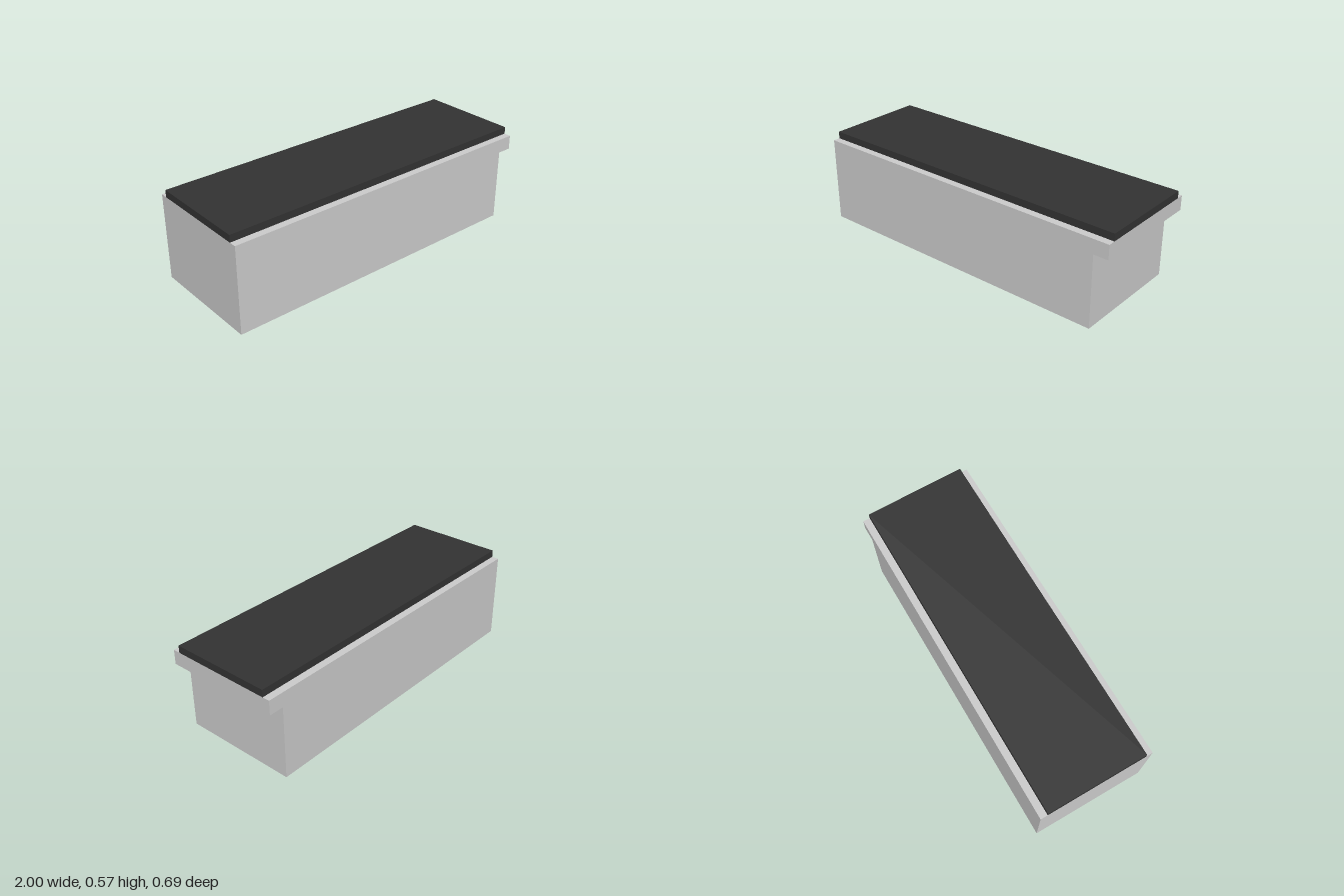
import * as THREE from 'three';

export function createModel() {
  const model = new THREE.Group();
  const bodyTop = 0.523, bodyDepth = 0.694;
  const slabHeight = 0.043, slabDepth = 0.608;

  // Body: side profile with an overhanging lip at the +x end, extruded in z
  const profile = new THREE.Shape([
    [-1, 0], [0.912, 0], [0.912, 0.437], [1, 0.437], [1, bodyTop], [-1, bodyTop],
  ].map(([x, y]) => new THREE.Vector2(x, y)));
  const bodyGeometry = new THREE.ExtrudeGeometry(profile, { depth: bodyDepth, bevelEnabled: false });
  bodyGeometry.translate(0, 0, -bodyDepth / 2);
  const body = new THREE.Mesh(bodyGeometry, new THREE.MeshStandardMaterial({ color: 0xcccccc }));
  body.name = 'body';
  model.add(body);

  // Dark slab on top, flush with both ends and inset at front and back
  const slab = new THREE.Mesh(
    new THREE.BoxGeometry(2, slabHeight, slabDepth),
    new THREE.MeshStandardMaterial({ color: 0x333333 }),
  );
  slab.position.y = bodyTop + slabHeight / 2;
  slab.name = 'topSlab';
  model.add(slab);

  return model;
}
